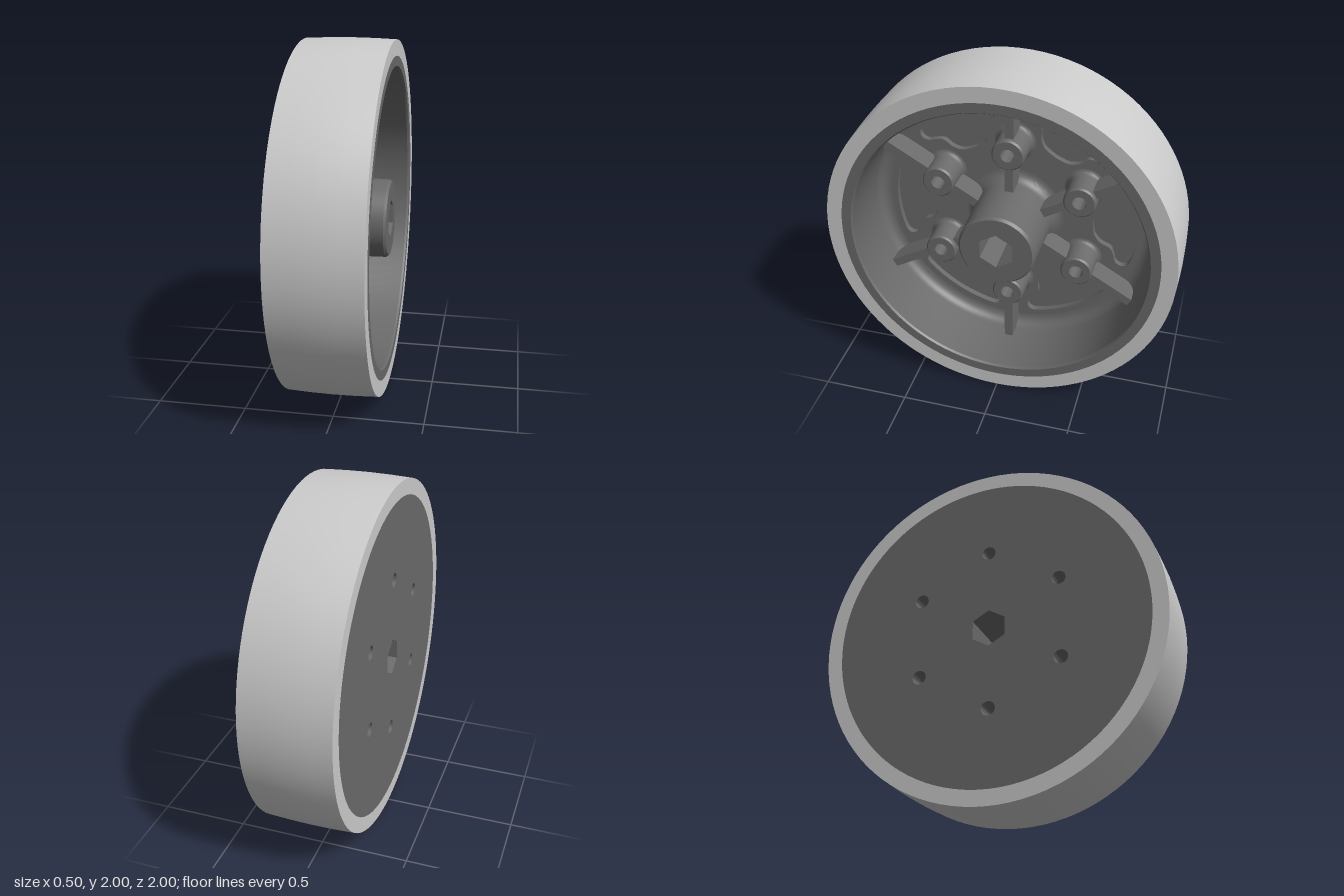
import * as THREE from 'three';
import { toCreasedNormals } from 'three/addons/utils/BufferGeometryUtils.js';

const SEG = 96;
const HALF = 0.248;    // half width of the wheel
const WEB = -0.17;     // inner face of the web
const POCKET = -0.205; // floor of the pockets
const HEX_R = 0.107;
const BOLT_R = 0.04;
const BOLT_CIRCLE = 0.47;

const tyreMaterial = new THREE.MeshStandardMaterial({ color: 0xcccccc });
const hubMaterial = new THREE.MeshStandardMaterial({ color: 0x6a6a6a });

function addMesh(parent, name, geometry, material = hubMaterial) {
  const mesh = new THREE.Mesh(geometry, material);
  mesh.name = name;
  parent.add(mesh);
  return mesh;
}

// Everything is built around the z axis, open side towards +z
function turned(points, segments = SEG) {
  const profile = points.map(([r, z]) => new THREE.Vector2(r, z));
  return toCreasedNormals(new THREE.LatheGeometry(profile, segments).rotateX(Math.PI / 2), 0.5);
}

function slab(shape, z0, z1, curveSegments = SEG) {
  const geometry = new THREE.ExtrudeGeometry(shape, { depth: z1 - z0, bevelEnabled: false, curveSegments });
  return toCreasedNormals(geometry.translate(0, 0, z0), 0.5);
}

function disc(radius, holes) {
  const shape = new THREE.Shape().absarc(0, 0, radius, 0, Math.PI * 2, false);
  shape.holes.push(...holes);
  return shape;
}

const circle = (x, y, r, n = 32) => polygon(x, y, r, n, 0);

function polygon(x, y, r, n, start) {
  const points = [];
  for (let i = 0; i < n; i++) {
    const a = start + (i / n) * Math.PI * 2;
    points.push(new THREE.Vector2(x + r * Math.cos(a), y + r * Math.sin(a)));
  }
  return new THREE.Path(points);
}

// Points of a fillet, angles in degrees
function fillet(r, z, radius, from, to, steps = 8) {
  return Array.from({ length: steps + 1 }, (_, i) => {
    const a = THREE.MathUtils.degToRad(from + ((to - from) * i) / steps);
    return [r + radius * Math.cos(a), z + radius * Math.sin(a)];
  });
}

// Rounded pocket outline, mirrored about its centre line
function pocket(angle) {
  const half = [[0.472, 0.075], [0.51, 0.125], [0.57, 0.155], [0.592, 0.2], [0.605, 0.245],
    [0.635, 0.268], [0.67, 0.262], [0.693, 0.225], [0.718, 0.115]];
  const outline = [[0.461, 0], ...half, [0.727, 0], ...half.map(([x, y]) => [x, -y]).reverse()];
  const curve = new THREE.SplineCurve([...outline, outline[0]].map(([x, y]) => new THREE.Vector2(x, y)));
  const points = curve.getPoints(80).slice(0, -1);
  return new THREE.Path(points.map((p) => p.rotateAround(new THREE.Vector2(), angle)));
}

export function createModel() {
  const model = new THREE.Group();
  model.name = 'wheel';
  const wheel = new THREE.Group();
  wheel.name = 'wheelBody';
  wheel.rotation.y = Math.PI / 2;
  wheel.position.y = 1;
  model.add(wheel);

  // Slightly crowned tyre
  addMesh(wheel, 'tyre', turned([
    [0.905, -HALF], [0.993, -HALF], [0.998, -HALF / 2], [1, 0], [0.998, HALF / 2], [0.993, HALF], [0.905, HALF],
  ]), tyreMaterial);

  // Rim lip and inner wall, blending into the web
  addMesh(wheel, 'rim', turned([
    [0.905, HALF], [0.85, HALF], [0.842, 0.236], ...fillet(0.765, WEB + 0.07, 0.07, 0, -90),
  ]));

  const angles = Array.from({ length: 6 }, (_, i) => (i * Math.PI) / 3);
  const hex = () => polygon(0, 0, HEX_R, 6, Math.PI / 2);
  const boltHoles = () => angles.map((a) => {
    const b = a + Math.PI / 6;
    return circle(BOLT_CIRCLE * Math.cos(b), BOLT_CIRCLE * Math.sin(b), BOLT_R);
  });

  // Closed back plate, and the pocketed layer on its inside
  addMesh(wheel, 'backPlate', slab(disc(0.905, [hex(), ...boltHoles()]), -HALF, POCKET));
  addMesh(wheel, 'web', slab(disc(0.84, [hex(), ...boltHoles(), ...angles.map(pocket)]), POCKET, WEB));

  // Central hub with hexagonal bore
  addMesh(wheel, 'hubCore', slab(disc(0.206, [hex()]), WEB, 0.24));
  addMesh(wheel, 'hubSleeve', turned([
    ...fillet(0.29, WEB + 0.065, 0.065, 270, 180), [0.219, 0.225], [0.206, 0.24],
  ]));

  // Bolt bosses and radial ribs
  angles.forEach((a) => {
    const spoke = new THREE.Group();
    spoke.name = 'spoke';
    spoke.rotation.z = a + Math.PI / 6;
    wheel.add(spoke);

    const core = addMesh(spoke, 'bossCore', slab(disc(0.084, [circle(0, 0, BOLT_R)]), WEB, 0, 32));
    const sleeve = addMesh(spoke, 'bossSleeve', turned([
      ...fillet(0.12, WEB + 0.025, 0.025, 270, 180, 4), [0.093, -0.01], [0.084, 0],
    ], 32));
    core.position.x = sleeve.position.x = BOLT_CIRCLE;

    [['innerRib', 0.2, 0.415], ['outerRib', 0.525, 0.842]].forEach(([name, r0, r1]) => {
      const rib = addMesh(spoke, name, new THREE.BoxGeometry(r1 - r0, 0.05, 0.15));
      rib.position.set((r0 + r1) / 2, 0, -0.105);
    });
  });

  return model;
}
